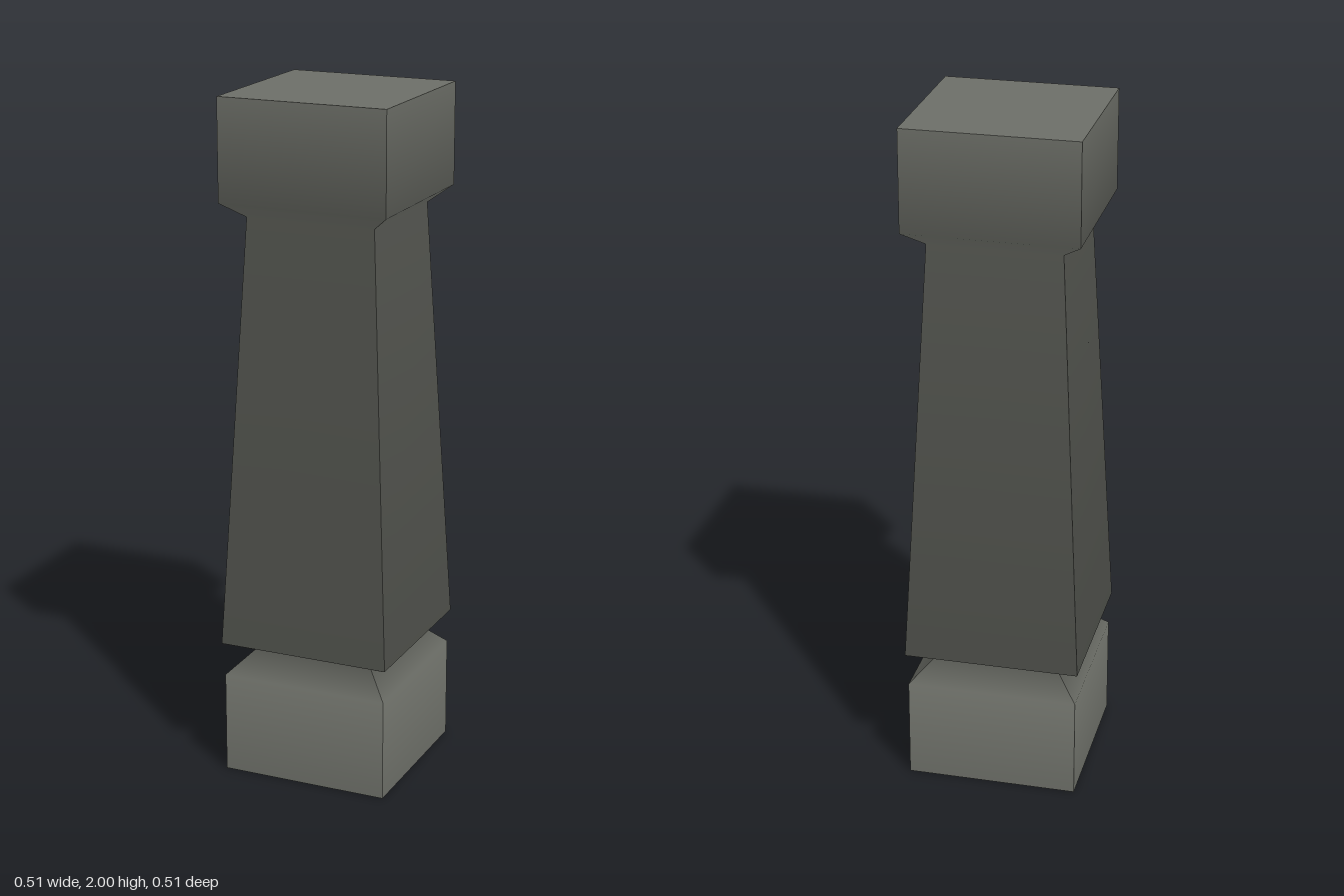
import * as THREE from 'three';

// Profile of the post: [half width, height], bottom to top
const PROFILE = [
  [0.25, 0], [0.25, 0.3], [0.185, 0.365], [0.257, 0.4],
  [0.192, 1.66], [0.25, 1.705], [0.25, 2],
];

// One side facing +z, shaded smoothly up the profile and sharp at the corners
function sideGeometry() {
  const points = PROFILE.map(([w, y]) => new THREE.Vector2(w, y));
  const segmentNormals = points.slice(1).map((p, i) => {
    const d = p.clone().sub(points[i]).normalize();
    return new THREE.Vector2(d.y, -d.x);
  });
  const positions = [], normals = [], indices = [];
  points.forEach((p, i) => {
    const n = new THREE.Vector2();
    if (i > 0) n.add(segmentNormals[i - 1]);
    if (i < segmentNormals.length) n.add(segmentNormals[i]);
    n.normalize();
    for (const s of [-1, 1]) {
      positions.push(s * p.x, p.y, p.x);
      normals.push(0, n.y, n.x);
    }
    if (i < segmentNormals.length) {
      const a = 2 * i;
      indices.push(a, a + 1, a + 3, a, a + 3, a + 2);
    }
  });
  const geometry = new THREE.BufferGeometry();
  geometry.setAttribute('position', new THREE.Float32BufferAttribute(positions, 3));
  geometry.setAttribute('normal', new THREE.Float32BufferAttribute(normals, 3));
  geometry.setIndex(indices);
  return geometry;
}

export function createModel() {
  const group = new THREE.Group();
  group.name = 'squarePost';
  const stone = new THREE.MeshStandardMaterial({ color: 0x6c6e67 });
  stone.name = 'grey stone';

  // Four identical sides: base block, neck, tapered shaft and capital
  const side = sideGeometry();
  ['front', 'left', 'back', 'right'].forEach((name, i) => {
    const mesh = new THREE.Mesh(side, stone);
    mesh.name = name + 'Side';
    mesh.rotation.y = i * Math.PI / 2;
    group.add(mesh);
  });

  // Flat top and underside
  const cap = new THREE.PlaneGeometry(0.5, 0.5);
  for (const [name, y, turn] of [['topFace', 2, -1], ['bottomFace', 0, 1]]) {
    const mesh = new THREE.Mesh(cap, stone);
    mesh.name = name;
    mesh.position.y = y;
    mesh.rotation.x = turn * Math.PI / 2;
    group.add(mesh);
  }
  return group;
}
